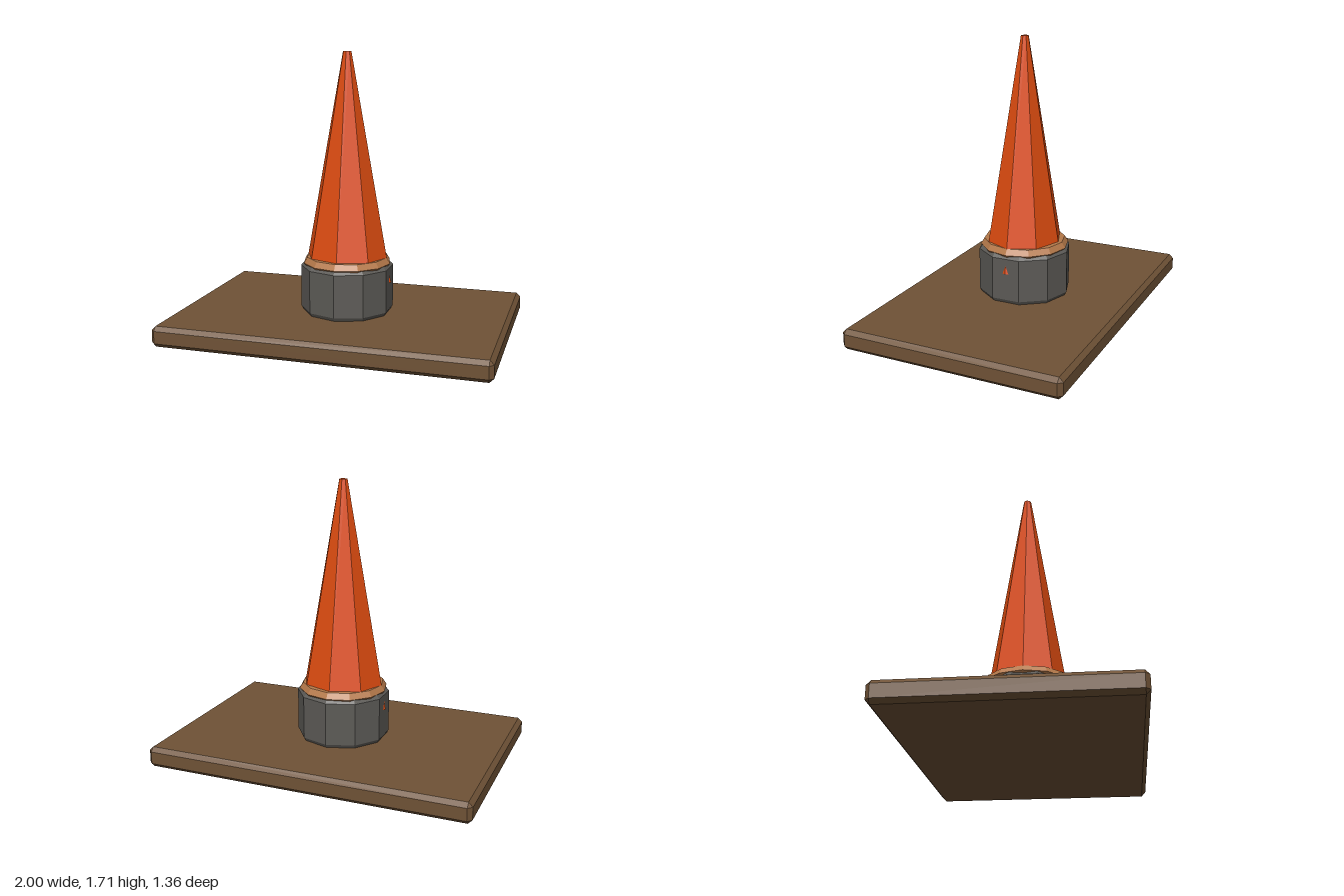
import * as THREE from 'three';
import { ConvexGeometry } from 'three/addons/geometries/ConvexGeometry.js';

const paint = (name, color) => Object.assign(new THREE.MeshStandardMaterial({ color }), { name });

// Faceted copy of a geometry: one normal per face
function faceted(geometry) {
  const flat = geometry.toNonIndexed();
  flat.computeVertexNormals();
  return flat;
}

// Box with every edge and corner cut by c
function chamferedBox(w, h, d, c) {
  const points = [];
  for (const x of [-w / 2, w / 2]) for (const y of [-h / 2, h / 2]) for (const z of [-d / 2, d / 2]) {
    for (let full = 0; full < 3; full++) {
      const p = [x, y, z].map((v, i) => (i === full ? v : v - Math.sign(v) * c));
      points.push(new THREE.Vector3(...p));
    }
  }
  return new ConvexGeometry(points);
}

// Faceted turned part from [radius, y] pairs, bottom to top
function turned(profile, sides) {
  return faceted(new THREE.LatheGeometry(profile.map(([r, y]) => new THREE.Vector2(r, y)), sides));
}

export function createModel() {
  const wood = paint('brown wood', 0x6f5236);
  const grey = paint('dark grey', 0x5c5a56);
  const tan = paint('tan', 0xb5794a);
  const orange = paint('orange', 0xde4c10);

  const model = new THREE.Group();
  model.name = 'coneOnBoard';
  const add = (name, geometry, material) => {
    const mesh = new THREE.Mesh(geometry, material);
    mesh.name = name;
    model.add(mesh);
    return mesh;
  };

  // Flat board
  add('baseBoard', chamferedBox(2, 0.125, 1.36, 0.025), wood).position.y = 0.0625;

  // Ten-sided socket with chamfered rims
  add('socket', turned([[0, 0.12], [0.268, 0.12], [0.284, 0.147], [0.284, 0.408], [0.262, 0.43], [0, 0.43]], 10), grey);

  // Collar tapering towards the cone
  add('collar', turned([[0, 0.41], [0.255, 0.41], [0.272, 0.432], [0.25, 0.467], [0, 0.467]], 12), tan);

  // Eight-sided cone, slightly flattened in depth; its lower corners just break through the socket
  const cone = new THREE.CylinderGeometry(0.026, 0.279, 1.395, 8);
  cone.scale(1, 1, 0.9);
  add('cone', faceted(cone), orange).position.y = 0.315 + 1.395 / 2;

  return model;
}
